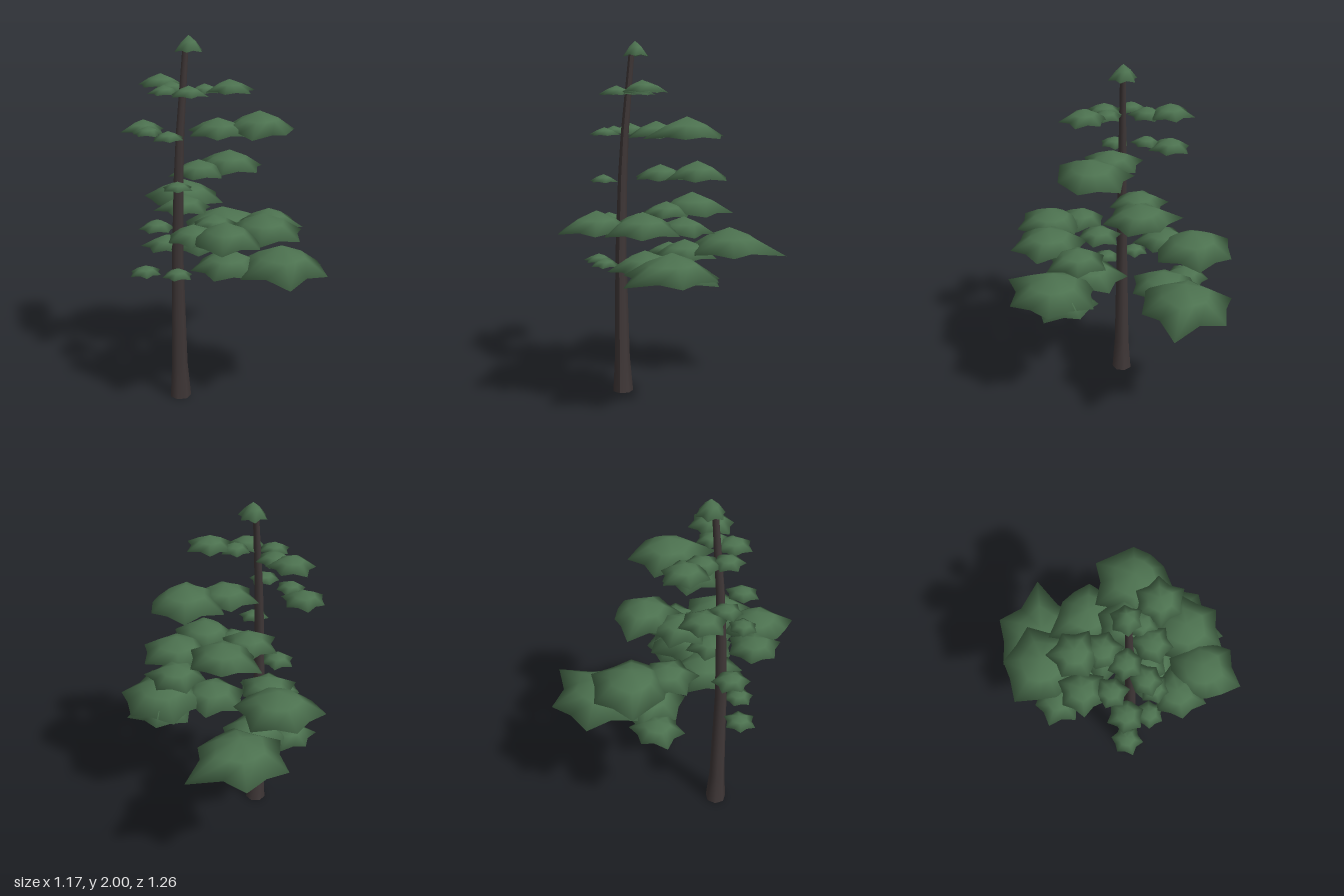
import * as THREE from 'three';

// Foliage pads: [apex x, apex y, apex z, radius, direction of first tip in degrees, optional tip lengths]
const TIERS = {
  lowestTier: [
    [0.23, 0.935, -0.355, 0.28, 14, [1.27, 0.88, 1, 1, 1, 1]],
    [0.05, 0.91, 0.36, 0.27, 5, [0.93, 0.97, 1.2, 1, 1, 1]],
    [-0.15, 0.875, 0.155, 0.21, 30], [-0.02, 0.87, -0.26, 0.2, 10], [-0.15, 0.825, -0.4, 0.14, 40],
    [0.12, 0.85, 0.3, 0.19, 30], [-0.5, 0.79, -0.12, 0.085, 0], [-0.41, 0.8, 0.05, 0.085, 20],
  ],
  lowTier: [
    [-0.01, 1.13, -0.42, 0.24, -2, [1.04, 1, 0.9, 0.8, 1.06, 0.94]],
    [-0.35, 1.12, 0.375, 0.21, 14, [0.85, 0.97, 1.07, 0.75, 0.88, 0.9]],
    [-0.1, 1.12, 0.38, 0.22, 16, [1, 1, 1, 0.9, 1, 1]],
    [-0.13, 1.09, -0.26, 0.16, 25], [-0.42, 1.08, 0.2, 0.15, 10], [0.08, 1.08, 0.22, 0.17, 0],
    [-0.2, 1.07, 0.1, 0.13, 15], [-0.43, 1.04, -0.1, 0.1, 30],
  ],
  middleTier: [
    [0.085, 1.345, -0.115, 0.2, 22, [0.95, 1, 1, 1, 1.2, 0.82]],
    [-0.13, 1.32, -0.12, 0.16, 20], [-0.41, 1.275, 0.06, 0.08, 5],
  ],
  highTier: [
    [0.08, 1.6, 0.14, 0.22, 20, [0.92, 0.8, 1.18, 1, 1.06, 1.03]],
    [-0.115, 1.57, 0.03, 0.17, 10], [-0.36, 1.54, -0.31, 0.12, 15],
    [-0.42, 1.53, -0.18, 0.085, 40], [-0.42, 1.53, 0, 0.085, 0],
  ],
  highestTier: [
    [-0.155, 1.79, 0.17, 0.125, 20], [-0.25, 1.78, -0.295, 0.125, -10], [-0.375, 1.75, -0.09, 0.085, 30],
    [-0.33, 1.76, 0.06, 0.1, 0], [-0.22, 1.76, 0.05, 0.085, 15], [-0.275, 1.755, -0.17, 0.1, 40],
  ],
};

// Height, radius and sideways position of each trunk ring
const TRUNK = [
  [0, 0.06, -0.34], [0.2, 0.045, -0.343], [0.8, 0.033, -0.345], [1.25, 0.027, -0.33],
  [1.5, 0.023, -0.315], [1.96, 0.016, -0.27],
];

let seed = 11;
const random = () => (seed = (seed * 16807) % 2147483647) / 2147483647;

// Six-pointed drooping pad: a domed top and a hollow underside, smooth around the rim
function padGeometry(radius, height, phase, tips) {
  const SIDES = 12;
  const reach = Array.from({ length: SIDES }, (_, i) => {
    if (i % 2) return radius * (0.76 + 0.06 * random());
    return radius * (tips ? tips[i / 2] : 0.93 + 0.2 * random());
  });
  // Rings from the top to the underside: scale, height at tips, height at notches
  const rings = [[0.55, -0.4, -0.42], [1, -1, -0.9], [0.5, -0.82, -0.72]];
  const positions = [0, 0, 0], indices = [];
  for (const [scale, tipY, notchY] of rings) {
    for (let i = 0; i < SIDES; i++) {
      const a = phase + (i / SIDES) * Math.PI * 2;
      const r = scale < 1 ? scale * (0.5 * reach[i] + 0.43 * radius) : reach[i];
      positions.push(Math.cos(a) * r, (i % 2 ? notchY : tipY) * height, Math.sin(a) * r);
    }
  }
  const last = positions.length / 3;
  positions.push(0, -0.7 * height, 0);
  for (let i = 0; i < SIDES; i++) {
    const j = (i + 1) % SIDES;
    indices.push(0, 1 + j, 1 + i);
    for (let k = 0; k < rings.length - 1; k++) {
      const a = 1 + k * SIDES, b = a + SIDES;
      indices.push(a + i, a + j, b + j, a + i, b + j, b + i);
    }
    indices.push(last, last - SIDES + i, last - SIDES + j);
  }
  const geometry = new THREE.BufferGeometry();
  geometry.setAttribute('position', new THREE.Float32BufferAttribute(positions, 3));
  geometry.setIndex(indices);
  geometry.computeVertexNormals();
  return geometry;
}

// Leaning, tapering trunk with a flared foot
function trunkGeometry() {
  const geometry = new THREE.CylinderGeometry(1, 1, 1, 7, TRUNK.length - 1);
  const p = geometry.attributes.position;
  for (let i = 0; i < p.count; i++) {
    const [y, r, x] = TRUNK[Math.round((p.getY(i) + 0.5) * (TRUNK.length - 1))];
    p.setXYZ(i, x + p.getX(i) * r, y, -0.04 + p.getZ(i) * r);
  }
  geometry.computeVertexNormals();
  return geometry;
}

export function createModel() {
  const bark = new THREE.MeshStandardMaterial({ color: 0x3f3737 });
  bark.name = 'bark';
  const foliage = new THREE.MeshStandardMaterial({ color: 0x4c714f });
  foliage.name = 'foliage';

  const tree = new THREE.Group();
  tree.name = 'tree';
  const trunk = new THREE.Mesh(trunkGeometry(), bark);
  trunk.name = 'trunk';
  tree.add(trunk);

  const addPad = (parent, name, [x, y, z, radius, degrees, tips], steepness) => {
    const geometry = padGeometry(radius, radius * steepness, THREE.MathUtils.degToRad(degrees), tips);
    const pad = new THREE.Mesh(geometry, foliage);
    pad.name = name;
    pad.position.set(x, y, z);
    parent.add(pad);
  };

  // Tiers of foliage pads, swept to one side
  for (const [name, pads] of Object.entries(TIERS)) {
    const tier = new THREE.Group();
    tier.name = name;
    pads.forEach((pad, i) => addPad(tier, `foliagePad${i + 1}`, pad, 0.51));
    tree.add(tier);
  }

  // Crown tuft
  addPad(tree, 'crownTuft', [-0.25, 2, -0.04, 0.077, 15], 1.08);
  return tree;
}
